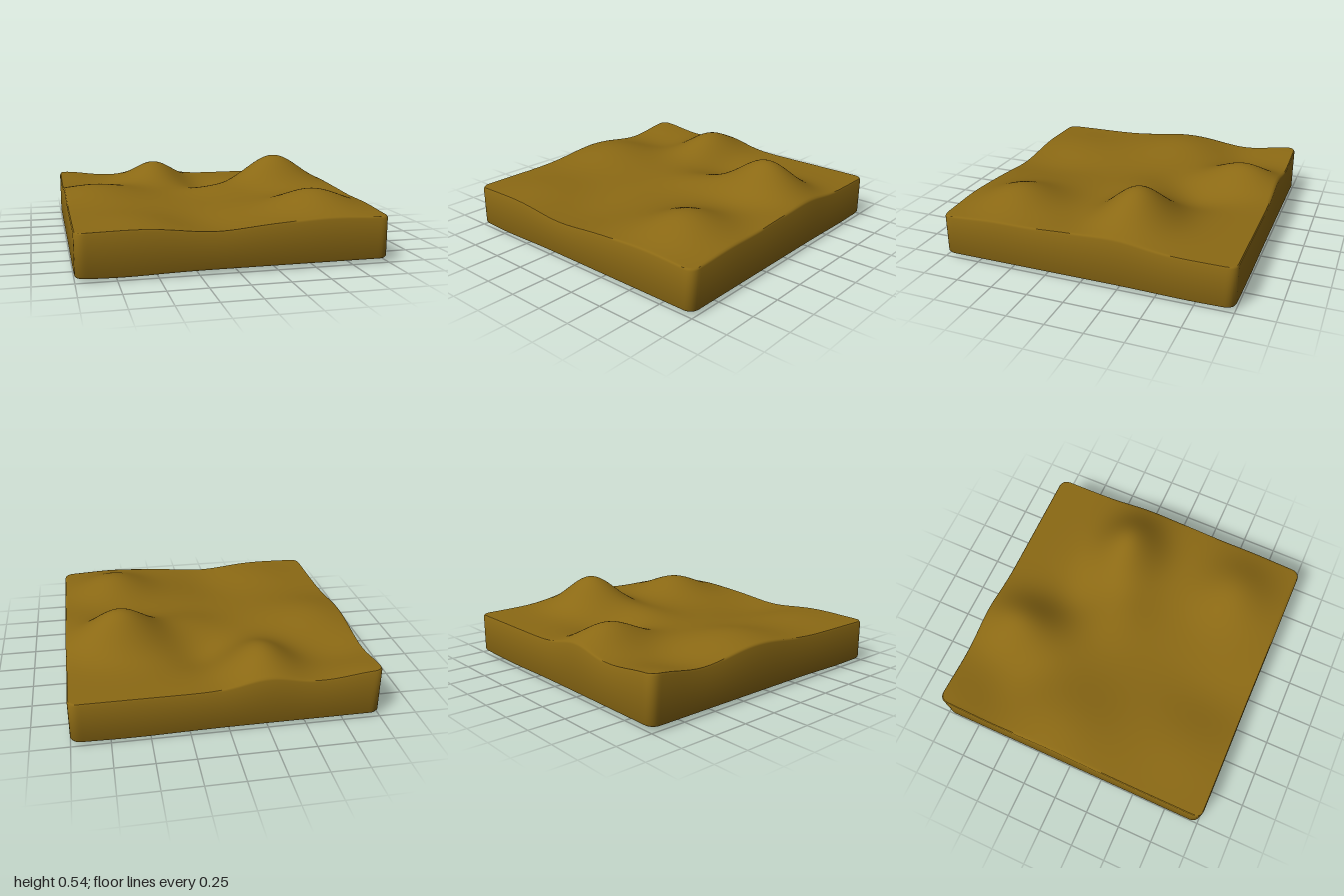
import * as THREE from 'three';
import { mergeVertices, toCreasedNormals } from 'three/addons/utils/BufferGeometryUtils.js';

// Hills and hollows: x, z, height, spread in x, spread in z
const HILLS = [
  [0.62, -0.25, 0.24, 0.2, 0.17],
  [0.15, -0.1, 0.04, 0.18, 0.15],
  [0.62, 0.6, 0.128, 0.2, 0.2],
  [-0.25, -0.73, 0.15, 0.16, 0.2],
  [-0.77, -0.12, 0.08, 0.25, 0.25],
  [-0.15, 0.75, -0.045, 0.2, 0.3],
  [-0.75, -0.62, -0.03, 0.2, 0.16],
  [0.1, -0.5, -0.05, 0.16, 0.16],
  [-1, -1, 0.05, 0.22, 0.22],
  [-0.6, 0.72, 0.02, 0.2, 0.2],
  [1, 0.1, 0.03, 0.2, 0.2],
];

// Shallow swellings of the underside
const SWELLS = [
  [-0.1, 0.25, 0.028, 0.2, 0.18],
  [-0.72, 0.75, 0.022, 0.2, 0.2],
  [0.6, -0.72, 0.024, 0.25, 0.2],
];

const relief = (bumps, x, z) => bumps.reduce((sum, [bx, bz, h, sx, sz]) =>
  sum + h * Math.exp(-((x - bx) ** 2) / (2 * sx * sx) - ((z - bz) ** 2) / (2 * sz * sz)), 0);

// Round the vertical corners by mapping each corner square onto a quarter disc
function roundCorner(x, z, r) {
  const dx = Math.abs(x) - (1 - r);
  const dz = Math.abs(z) - (1 - r);
  if (dx <= 0 || dz <= 0) return [x, z];
  const k = Math.max(dx, dz) / Math.hypot(dx, dz);
  return [Math.sign(x) * (1 - r + dx * k), Math.sign(z) * (1 - r + dz * k)];
}

export function createModel() {
  const group = new THREE.Group();
  group.name = 'terrainTile';

  // One finely divided slab, with hills on top and swellings below
  let geometry = new THREE.BoxGeometry(2, 2, 2, 100, 3, 100);
  geometry.deleteAttribute('normal');
  geometry.deleteAttribute('uv');
  geometry = mergeVertices(geometry);

  const p = geometry.attributes.position;
  for (let i = 0; i < p.count; i++) {
    const level = p.getY(i);
    const [x, z] = roundCorner(p.getX(i), p.getZ(i), 0.06);
    const top = 0.3 + relief(HILLS, x, z);
    const bottom = 0.03 - relief(SWELLS, x, z);
    const atRim = Math.max(Math.abs(p.getX(i)), Math.abs(p.getZ(i))) > 0.999;
    // The rim is set in a little to soften the upper and lower edges
    const rim = atRim && Math.abs(level) > 0.99 ? 0.994 : 1;
    let y;
    if (level > 0.99) y = top;
    else if (level < -0.99) y = bottom;
    else y = level > 0 ? top - 0.012 : bottom + 0.012;
    p.setXYZ(i, x * rim, y, z * rim);
  }

  const material = new THREE.MeshStandardMaterial({ color: 0x8b6914 });
  const ground = new THREE.Mesh(toCreasedNormals(geometry, 1.0), material);
  ground.name = 'hillyGround';
  group.add(ground);
  return group;
}
